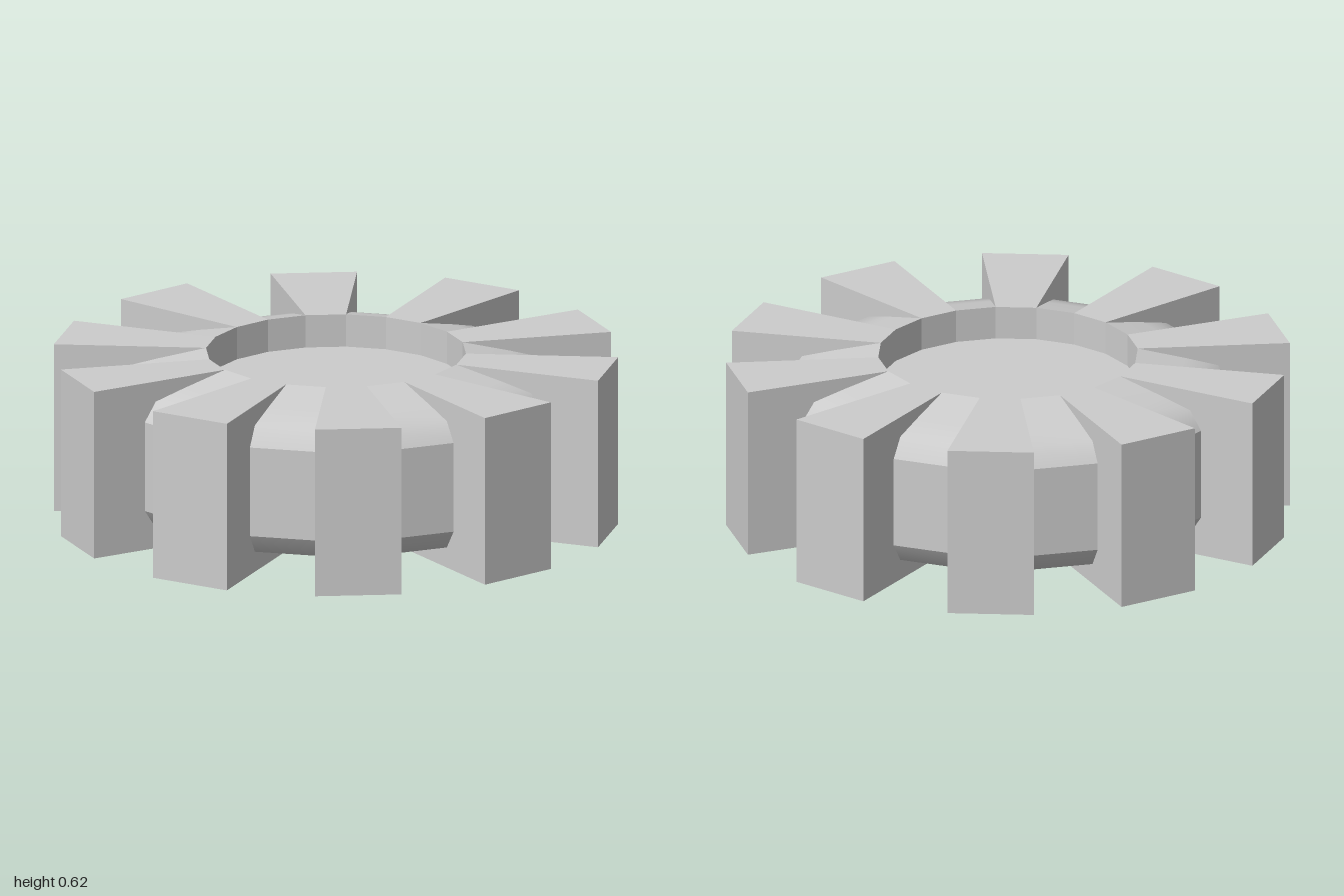
import * as THREE from 'three';
import { toCreasedNormals } from 'three/addons/utils/BufferGeometryUtils.js';

const HEIGHT = 0.62;
const COUNT = 10;
const STEP = (Math.PI * 2) / COUNT;
const HOLE = 0.46; // distance from the axis to the flats of the recess
const RECESS = 0.12;

export function createModel() {
  const group = new THREE.Group();
  group.name = 'cogWheel';
  const material = new THREE.MeshStandardMaterial({ color: 0xcccccc });

  const add = (name, geometry, angle = 0) => {
    const mesh = new THREE.Mesh(geometry, material);
    mesh.name = name;
    mesh.rotation.y = angle;
    group.add(mesh);
    return mesh;
  };

  // one flat-faced sector of the hub; radii are measured at the middle of the flat
  const sector = (profile) => {
    const points = profile.map(([r, y]) => new THREE.Vector2(r / Math.cos(STEP / 2), y));
    return toCreasedNormals(new THREE.LatheGeometry(points, 1, 0, STEP), 0.9);
  };
  const shoulder = [[0.79, 0.475], [0.745, 0.545], [0.63, 0.577], [HOLE, HEIGHT]];
  const upper = sector(shoulder);
  const lower = sector(shoulder.map(([r, y]) => [r, HEIGHT - y]).reverse());
  const band = sector([[0.79, HEIGHT - 0.475], [0.79, 0.475]]);

  // wedge-shaped tooth running the full height
  const inner = HOLE * Math.tan(STEP / 4);
  const outline = new THREE.Shape([
    new THREE.Vector2(-inner, HOLE),
    new THREE.Vector2(inner, HOLE),
    new THREE.Vector2(0.155, 1),
    new THREE.Vector2(-0.155, 1),
  ]);
  const tooth = new THREE.ExtrudeGeometry(outline, { depth: HEIGHT, bevelEnabled: false });
  tooth.rotateX(Math.PI / 2).translate(0, HEIGHT, 0);

  for (let i = 0; i < COUNT; i++) {
    const angle = i * STEP;
    add('tooth', tooth, angle);
    add('hubBand', band, angle);
    add('upperShoulder', upper, angle);
    add('lowerShoulder', lower, angle);
  }

  // round recesses in the top and underside: faceted wall and flat floor
  const sides = COUNT * 2;
  const radius = HOLE / Math.cos(STEP / 4);
  const wall = (top, bottom) => toCreasedNormals(new THREE.LatheGeometry(
    [new THREE.Vector2(radius, top), new THREE.Vector2(radius, bottom)], sides, STEP / 4), 0.1);
  add('upperRecessWall', wall(HEIGHT, HEIGHT - RECESS));
  add('lowerRecessWall', wall(RECESS, 0));

  const floor = (y, tilt) => new THREE.CircleGeometry(radius, sides, STEP / 4)
    .rotateX(tilt).translate(0, y, 0);
  add('upperRecessFloor', floor(HEIGHT - RECESS, -Math.PI / 2));
  add('lowerRecessFloor', floor(RECESS, Math.PI / 2));

  // the wheel sits very slightly turned
  group.rotation.y = 0.008;
  return group;
}
